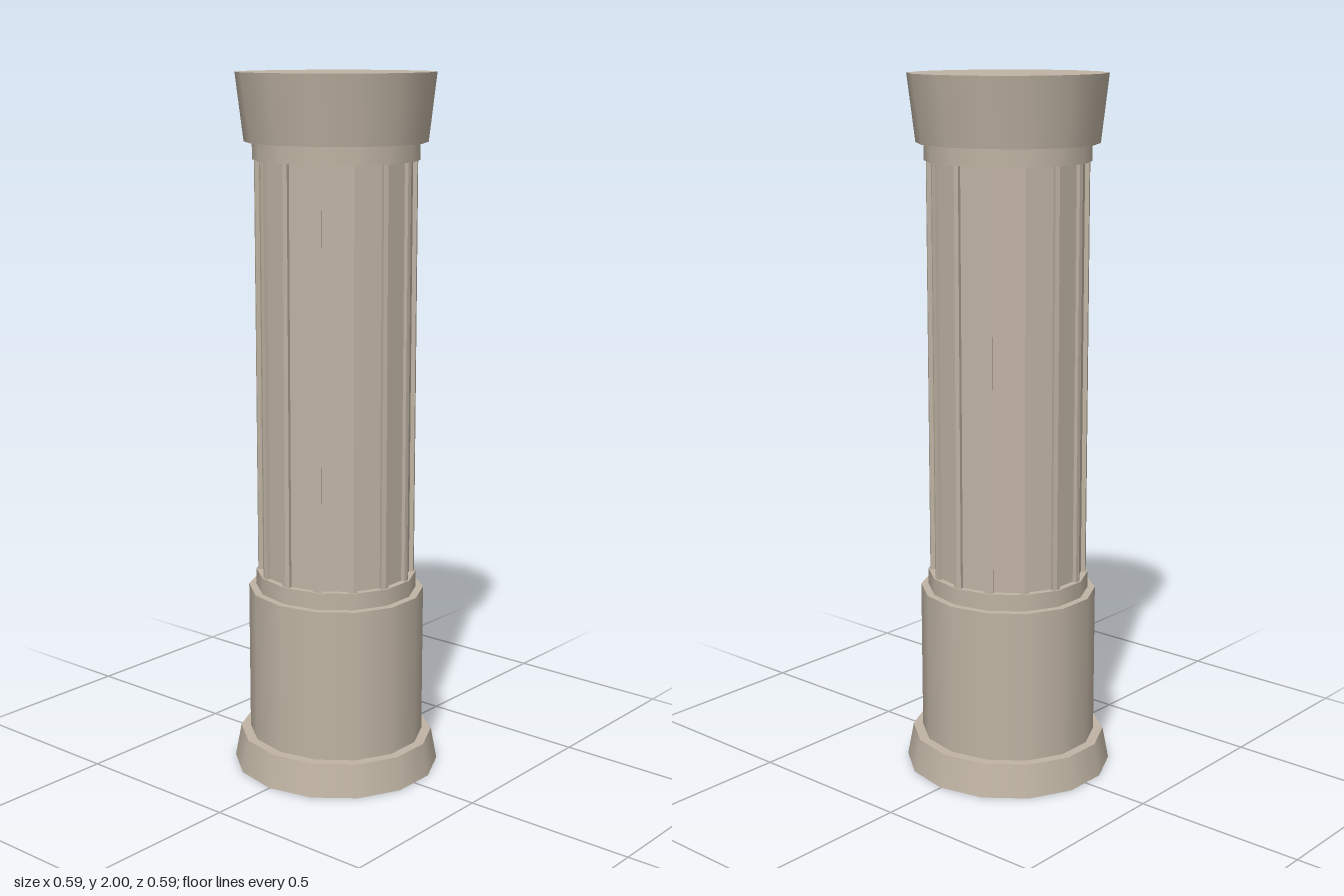
import * as THREE from 'three';

const SIDES = 14;
const stone = new THREE.MeshStandardMaterial({ color: 0xbfb3a3 });
stone.name = 'warm grey stone';

// A 14-sided drum from y0 to y1, each end given as [x radius, z radius]
function drum(name, y0, y1, bottom, top) {
  const geo = new THREE.CylinderGeometry(top[1], bottom[1], y1 - y0, SIDES);
  const pos = geo.attributes.position;
  for (let i = 0; i < pos.count; i++) {
    const [rx, rz] = pos.getY(i) > 0 ? top : bottom;
    pos.setX(i, pos.getX(i) * rx / rz);
  }
  geo.translate(0, (y0 + y1) / 2, 0);
  const mesh = new THREE.Mesh(geo, stone);
  mesh.name = name;
  return mesh;
}

// Shaft whose every face carries a shallow recessed flute between corner ribs
function flutedShaft(y0, y1, rx, rz) {
  const rib = 0.13, depth = 0.012;
  const corner = i => {
    const a = (i / SIDES) * Math.PI * 2;
    return new THREE.Vector2(Math.sin(a) * rx, -Math.cos(a) * rz);
  };
  const points = [];
  for (let i = 0; i < SIDES; i++) {
    const a = corner(i), b = corner(i + 1);
    const inward = a.clone().add(b).normalize().multiplyScalar(-depth);
    const p = a.clone().lerp(b, rib), q = a.clone().lerp(b, 1 - rib);
    points.push(a, p, p.clone().add(inward), q.clone().add(inward), q);
  }
  const geo = new THREE.ExtrudeGeometry(new THREE.Shape(points), { depth: y1 - y0, bevelEnabled: false });
  geo.rotateX(-Math.PI / 2);
  geo.translate(0, y0, 0);
  const mesh = new THREE.Mesh(geo, stone);
  mesh.name = 'flutedShaft';
  return mesh;
}

export function createModel() {
  const column = new THREE.Group();
  column.name = 'column';
  const collar = [0.236, 0.226];
  column.add(
    drum('basePlinth', 0, 0.095, [0.302, 0.295], [0.286, 0.275]),
    drum('pedestal', 0.095, 0.535, [0.258, 0.247], [0.258, 0.247]),
    drum('lowerCollar', 0.535, 0.583, collar, collar),
    flutedShaft(0.583, 1.763, 0.23, 0.221),
    drum('upperCollar', 1.763, 1.812, collar, collar),
    drum('capital', 1.812, 2, [0.259, 0.248], [0.274, 0.281]),
  );
  return column;
}
